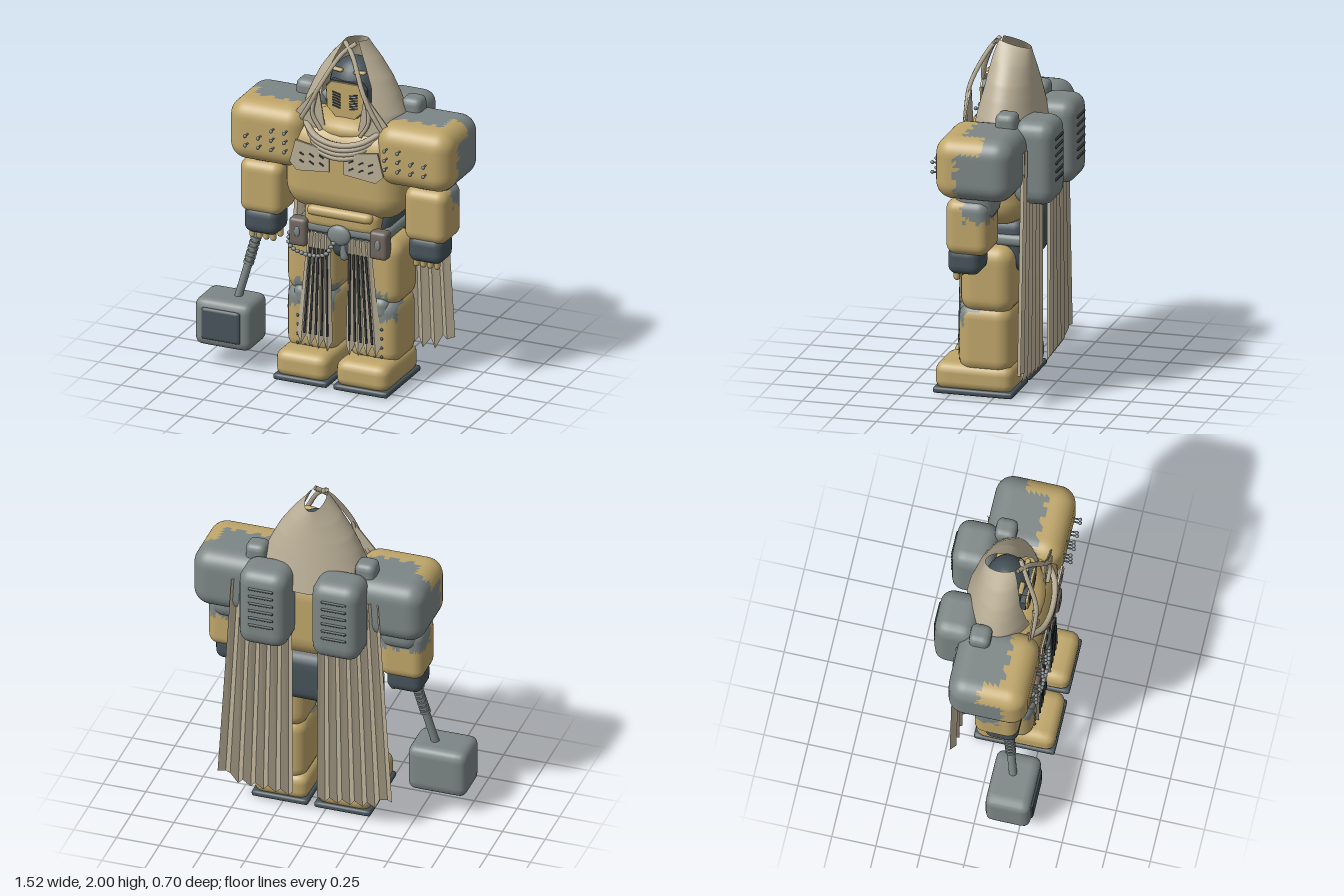
import * as THREE from 'three';
import { ParametricGeometry } from 'three/addons/geometries/ParametricGeometry.js';

const mat = (name, color, side = THREE.FrontSide) => {
  const m = new THREE.MeshStandardMaterial({ color, side });
  m.name = name;
  return m;
};
const V = (x, y, z) => new THREE.Vector3(x, y, z);

// Soft box: a subdivided box whose vertices are pulled onto rounded edges
function softBox(w, h, d, r, n = 10) {
  const g = new THREE.BoxGeometry(2, 2, 2, n, n, n);
  const p = g.attributes.position, nor = g.attributes.normal;
  const half = V(w / 2, h / 2, d / 2), inner = half.clone().subScalar(r), v = V(0, 0, 0);
  for (let i = 0; i < p.count; i++) {
    v.fromBufferAttribute(p, i);
    v.set(Math.sin(v.x * Math.PI / 2), Math.sin(v.y * Math.PI / 2), Math.sin(v.z * Math.PI / 2)).multiply(half);
    const c = v.clone().clamp(inner.clone().negate(), inner);
    const dir = v.sub(c).normalize();
    nor.setXYZ(i, dir.x, dir.y, dir.z);
    c.addScaledVector(dir, r);
    p.setXYZ(i, c.x, c.y, c.z);
  }
  g.clearGroups();
  return g;
}

// Sort triangles into two material groups; rule(x, y, z) picks the second
function split(geo, rule) {
  const p = geo.attributes.position, idx = geo.index.array, sets = [[], []];
  for (let i = 0; i < idx.length; i += 3) {
    const t = [idx[i], idx[i + 1], idx[i + 2]], c = V(0, 0, 0);
    t.forEach(k => c.add(V(p.getX(k), p.getY(k), p.getZ(k))));
    c.divideScalar(3);
    sets[rule(c.x, c.y, c.z) ? 1 : 0].push(...t);
  }
  geo.setIndex([...sets[0], ...sets[1]]);
  geo.addGroup(0, sets[0].length, 0);
  geo.addGroup(sets[0].length, sets[1].length, 1);
  return geo;
}

// Pleated hanging cloth between two edges, with a ragged hem
function cloth(topX, botX, topY, hem, z, amp, cols) {
  const g = new THREE.PlaneGeometry(1, 1, cols, 1), p = g.attributes.position;
  for (let i = 0; i < p.count; i++) {
    const k = i % (cols + 1), t = k / cols, low = i > cols;
    const [a, b] = low ? botX : topX;
    p.setXYZ(i, a + (b - a) * t, low ? hem(t, k) : topY, z + (k % 2 ? amp : -amp));
  }
  const flat = g.toNonIndexed();
  flat.computeVertexNormals();
  return flat;
}

const plate = (pts, depth) => new THREE.ExtrudeGeometry(
  new THREE.Shape(pts.map(q => new THREE.Vector2(...q))), { depth, bevelEnabled: false });
const tube = (pts, r, n = 20) => new THREE.TubeGeometry(new THREE.CatmullRomCurve3(pts), n, r, 6);
const lerpTable = (tab, y) => {
  for (let i = 1; i < tab.length; i++) if (y <= tab[i][0]) {
    const [y0, a] = tab[i - 1], [y1, b] = tab[i];
    return a + (b - a) * (y - y0) / (y1 - y0);
  }
  return tab[tab.length - 1][1];
};

export function createModel() {
  const model = new THREE.Group(), body = new THREE.Group();
  body.name = 'armouredFigure';
  body.position.x = 0.083;
  model.add(body);
  const tan = mat('tanArmour', 0xbfa66a), grey = mat('greyMetal', 0x7d8786), dark = mat('darkMetal', 0x46535a);
  const linen = mat('linenCloth', 0xb9ae96, THREE.DoubleSide), brown = mat('brownLeather', 0x70665f);
  const black = mat('darkSlot', 0x363c3e);
  const add = (name, geo, m, x = 0, y = 0, z = 0, rx = 0, ry = 0, rz = 0) => {
    const mesh = new THREE.Mesh(geo, m);
    mesh.name = name;
    mesh.position.set(x, y, z);
    mesh.rotation.set(rx, ry, rz);
    body.add(mesh);
    return mesh;
  };
  const ball = (name, m, x, y, z, a, b, c) =>
    add(name, new THREE.SphereGeometry(1, 24, 16), m, x, y, z).scale.set(a, b, c);
  const jag = t => 0.014 * Math.sin(t * 70) + 0.01 * Math.sin(t * 173);

  // Torso, belly and hips
  add('chest', softBox(0.73, 0.55, 0.41, 0.15, 14), tan, 0, 1.26, 0.03);
  ball('neckGuard', tan, 0, 1.49, 0.04, 0.25, 0.09, 0.17);
  add('bellyPlate', softBox(0.46, 0.16, 0.34, 0.06), tan, 0, 0.97, 0.045);
  add('bellyRoll', softBox(0.4, 0.06, 0.36, 0.028), tan, 0, 1.005, 0.05);
  add('waist', softBox(0.52, 0.32, 0.34, 0.08), dark, 0, 0.87, 0);
  add('belt', softBox(0.56, 0.07, 0.38, 0.03), grey, 0, 0.905, 0.02);
  ball('buckle', grey, 0, 0.885, 0.22, 0.07, 0.06, 0.025);
  add('crotchGuard', softBox(0.05, 0.16, 0.1, 0.02), grey, 0, 0.79, 0.12);

  // Head and mask
  ball('helmet', dark, 0, 1.7, 0, 0.147, 0.18, 0.13);
  const maskPts = [[-0.085, 1.765], [-0.115, 1.73], [-0.108, 1.61], [-0.055, 1.557],
    [0.055, 1.557], [0.108, 1.61], [0.115, 1.73], [0.085, 1.765]];
  add('maskRim', plate(maskPts.map(([x, y]) => [x * 1.06, 1.66 + (y - 1.66) * 1.06]), 0.03), dark, 0, 0, 0.098);
  add('mask', plate(maskPts, 0.03), tan, 0, 0, 0.11);

  for (const s of [-1, 1]) {
    add('brow', softBox(0.075, 0.02, 0.03, 0.009, 4), tan, s * 0.07, 1.825, 0.095, 0, 0, s * 0.1);
    for (let i = 0; i < 6; i++)
      add('mouthSlot', new THREE.BoxGeometry(0.05, 0.009, 0.006), black, s * 0.052, 1.7 - i * 0.016, 0.141, 0, 0, s * 0.25);

    // Shoulders with worn paint at the back, and studs
    const shoulder = split(softBox(0.46, 0.36, 0.45, 0.1, 24), (x, y, z) => {
      const worn = y > 0.1 && s * x > 0.13 ? -0.04 : 0.1 - Math.max(0, y) * 0.15;
      return z < worn + jag(x + y);
    });
    add('shoulder', shoulder, [tan, grey], s * 0.448, 1.41, 0.025);
    for (let i = 0; i < 4; i++) for (let j = 0; j < 3; j++) {
      if (j === 2 && i > 1) continue;
      const x = s * (0.305 + i * 0.079), y = 1.355 + j * 0.056;
      add('studPin', new THREE.CylinderGeometry(0.005, 0.005, 0.05, 6), grey, x, y, 0.262, Math.PI / 2);
      add('stud', new THREE.SphereGeometry(0.011, 10, 8), grey, x, y, 0.287);
    }

    // Arms, hands and fingers
    add('upperArm', softBox(0.23, 0.22, 0.23, 0.07), grey, s * 0.49, 1.21, 0.04);
    const fore = split(softBox(0.26, 0.32, 0.25, 0.06, 20),
      (x, y, z) => y > 0.04 + jag(z + x) && z < 0.02 + jag(y));
    add('forearm', fore, [tan, grey], s * 0.5, 1.065, 0.07);
    add('hand', softBox(0.21, 0.16, 0.19, 0.05), dark, s * 0.5, 0.865, 0.095);
    for (let i = 0; i < 4; i++)
      add('finger', new THREE.CapsuleGeometry(0.018, 0.03, 4, 10), tan, s * (0.435 + i * 0.042), 0.78, 0.14);
    add('thumb', new THREE.CapsuleGeometry(0.018, 0.03, 4, 10), tan, s * 0.42, 0.785, 0.08);

    // Legs with worn knees
    const lx = s * 0.183;
    const thigh = split(softBox(0.31, 0.4, 0.31, 0.09, 20),
      (x, y, z) => z > 0.05 + jag(y) && y < -0.11 + jag(x) && s * x < 0.09);
    add('thigh', thigh, [tan, grey], s * 0.195, 0.68, 0.045);
    const shin = split(softBox(0.3, 0.4, 0.31, 0.08, 20),
      (x, y, z) => z > 0.03 + jag(y) && y > 0.08 + jag(x) && Math.abs(x) < 0.14);
    add('shin', shin, [tan, grey], s * 0.192, 0.335, 0.055);
    add('knee', softBox(0.2, 0.13, 0.1, 0.045), grey, s * 0.19, 0.475, 0.165);
    add('foot', softBox(0.32, 0.16, 0.45, 0.055), tan, lx, 0.105, 0.115);
    add('sole', softBox(0.33, 0.036, 0.46, 0.015), dark, lx, 0.025, 0.115);
    add('soleTread', new THREE.BoxGeometry(0.25, 0.008, 0.37), tan, lx, 0.004, 0.115);
    for (let i = 0; i < 4; i++)
      add('shinRivet', new THREE.SphereGeometry(0.009, 8, 6), dark, s * 0.255, 0.36 - i * 0.055, 0.21);
    for (let i = 0; i < 3; i++)
      add('ankleRivet', new THREE.SphereGeometry(0.009, 8, 6), dark, s * (0.13 + i * 0.04), 0.19, 0.2);

    // Belt pouches
    add('pouch', softBox(0.105, 0.165, 0.08, 0.02), brown, s * 0.245, 0.868, 0.205);
    ball('pouchClasp', grey, s * 0.245, 0.875, 0.243, 0.018, 0.03, 0.008);

    // Front cloth panels with long slits
    add('loincloth', cloth([s * 0.055, s * 0.19], [s * 0.04, s * 0.255], 0.88,
      (t, k) => 0.24 - (k % 2) * 0.06 + 0.02 * t, 0.223, 0.007, 8), linen);
    for (let i = 0; i < 5; i++) {
      const t = 0.12 + i * 0.18, xa = 0.055 + 0.135 * t, xb = 0.043 + 0.195 * t;
      add('clothSlit', new THREE.BoxGeometry(0.011, 0.52, 0.008), black,
        s * (xa + xb) / 2, 0.53, 0.232, 0, 0, s * Math.atan((xb - xa) / 0.52));
    }

    // Back cape halves
    add('cape', cloth([s * 0.075, s * 0.43], [s * 0.07, s * 0.51], 1.47,
      (t, k) => (t > 0.75 ? 0.2 : 0.15 + 0.03 * t) - (k % 2) * (t > 0.8 ? 0.01 : 0.05), -0.197, 0.015, 12), linen);

    // Back packs with vents and top caps
    add('backPack', softBox(0.285, 0.48, 0.24, 0.075, 14), grey, s * 0.213, 1.38, -0.228);
    for (let i = 0; i < 6; i++)
      add('packVent', new THREE.CapsuleGeometry(0.009, 0.13, 3, 8), black, s * 0.213, 1.52 - i * 0.047, -0.346, 0, 0, Math.PI / 2);
    add('packCap', softBox(0.12, 0.2, 0.12, 0.035), grey, s * 0.32, 1.565, -0.08);

    // Hood cords, side drapes and collar tabs
    add('hoodCord', tube([V(-s * 0.035, 1.985, 0.065), V(s * 0.03, 1.93, 0.11), V(s * 0.13, 1.75, 0.19),
      V(s * 0.19, 1.63, 0.195), V(s * 0.25, 1.53, 0.185)], 0.014), linen);
    add('hoodDrape', plate([[s * 0.14, 1.74], [s * 0.29, 1.56], [s * 0.21, 1.44], [s * 0.1, 1.5]], 0.008), linen, 0, 0, 0.18);
    add('drapeFold', tube([V(s * 0.15, 1.72, 0.185), V(s * 0.17, 1.58, 0.2), V(s * 0.12, 1.49, 0.2)], 0.012), linen);
    add('collarTab', plate([[s * 0.25, 1.43], [s * 0.285, 1.295], [s * 0.24, 1.25], [s * 0.045, 1.27],
      [s * 0.045, 1.37], [s * 0.13, 1.41]], 0.012), linen, 0, 0, 0.245);
    for (let i = 0; i < 6; i++)
      add('tabSlot', new THREE.BoxGeometry(0.03, 0.009, 0.006), black,
        s * (0.09 + (i % 3) * 0.06), 1.31 + (i > 2 ? 0.045 : 0), 0.259, 0, 0, s * 0.5);
  }

  // Open hood: oval rings with a gap for the face and an open crown
  const wide = [[1.47, 0.31], [1.6, 0.298], [1.7, 0.258], [1.8, 0.21], [1.9, 0.143], [1.96, 0.09], [2, 0.055]];
  const gap = [[1.47, 0.15], [1.6, 0.16], [1.75, 0.145], [1.88, 0.095], [2, 0.04]];
  const hood = new ParametricGeometry((u, v, out) => {
    const y = 1.47 + 0.53 * v, rx = lerpTable(wide, y);
    const zb = -0.225 + 0.1 * v, zf = 0.2 - 0.12 * v;
    const a = Math.asin(Math.min(0.95, lerpTable(gap, y) / rx)), phi = a + (2 * Math.PI - 2 * a) * u;
    const tilt = 0.05 * v * (1 - Math.cos(phi)) / 2;
    out.set(rx * Math.sin(phi), y - tilt, (zb + zf) / 2 + (zf - zb) / 2 * Math.cos(phi));
  }, 48, 24);
  add('hood', hood, linen);

  // Layered scarf
  for (let i = 0; i < 4; i++) {
    const d = i * 0.026, w = 0.23 - i * 0.008;
    add('scarfFold', tube([V(-w, 1.52 - d, 0.17), V(-w * 0.6, 1.465 - d, 0.235), V(0, 1.44 - d, 0.255),
      V(w * 0.6, 1.465 - d, 0.235), V(w, 1.52 - d, 0.17)], 0.018), linen);
  }

  // Belt chain
  const chain = new THREE.CatmullRomCurve3([V(-0.31, 0.84, 0.2), V(-0.29, 0.785, 0.24), V(-0.18, 0.75, 0.25),
    V(-0.07, 0.77, 0.25), V(-0.025, 0.84, 0.24)]);
  for (const p of chain.getSpacedPoints(15)) ball('chainBead', grey, p.x, p.y, p.z, 0.015, 0.012, 0.012);

  // Hammer in the right hand
  add('hammerHead', softBox(0.34, 0.28, 0.255, 0.045), grey, -0.673, 0.26, 0.187);
  add('hammerFace', softBox(0.235, 0.19, 0.03, 0.014), dark, -0.676, 0.26, 0.31);
  const a = V(-0.64, 0.36, 0.18), b = V(-0.52, 0.84, 0.12), dir = b.clone().sub(a);
  const shaft = (name, r, t0, t1) => {
    const m = add(name, new THREE.CylinderGeometry(r, r, dir.length() * (t1 - t0), 14), grey);
    m.position.copy(a).addScaledVector(dir, (t0 + t1) / 2);
    m.quaternion.setFromUnitVectors(V(0, 1, 0), dir.clone().normalize());
  };
  shaft('hammerShaft', 0.023, 0, 1);
  for (let i = 0; i < 6; i++) shaft('gripRing', 0.03, 0.48 + i * 0.06, 0.515 + i * 0.06);
  return model;
}
